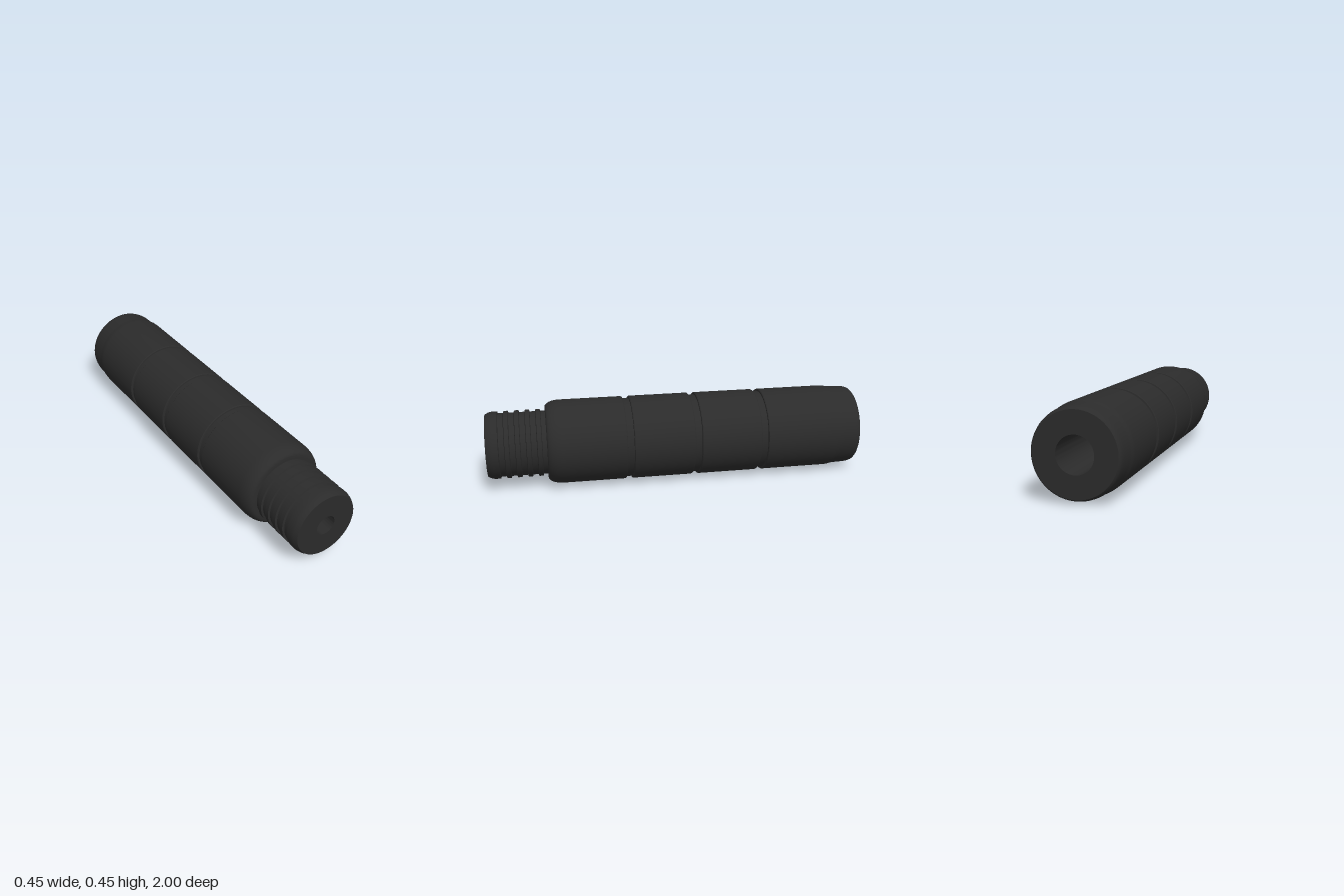
import * as THREE from 'three';
import { toCreasedNormals } from 'three/addons/utils/BufferGeometryUtils.js';

const R = 0.223; // barrel radius, also the height of the axis

export function createModel() {
  const group = new THREE.Group();
  const black = new THREE.MeshStandardMaterial({ color: 0x2b2b2b });
  black.name = 'matte black';

  // Turns a [radius, z] profile around the long axis.
  function turned(name, profile) {
    const points = profile.map(([r, z]) => new THREE.Vector2(r, z));
    const geometry = toCreasedNormals(new THREE.LatheGeometry(points, 80), 0.5);
    geometry.rotateX(Math.PI / 2);
    geometry.translate(0, R, 0);
    const mesh = new THREE.Mesh(geometry, black);
    mesh.name = name;
    group.add(mesh);
  }

  // Barrel: back face, rounded rim, slight step up to full radius
  const barrel = [
    [0.09, -1], [0.2, -1], [0.207, -0.993], [0.211, -0.98], [0.214, -0.96],
    [0.216, -0.89], [0.218, -0.875], [R - 0.001, -0.86], [R, -0.84],
  ];
  // Three shallow grooves around the grip
  for (const z of [-0.462, -0.102, 0.258]) {
    barrel.push([R, z - 0.022], [R - 0.003, z - 0.018], [R - 0.011, z - 0.017],
      [R - 0.011, z + 0.017], [R - 0.003, z + 0.018], [R, z + 0.022]);
  }
  // Rounded shoulder down to the neck
  for (let i = 0; i <= 8; i++) {
    const a = (i / 8) * Math.PI * 0.5;
    barrel.push([R - 0.035 + 0.035 * Math.cos(a), 0.61 + 0.078 * Math.sin(a)]);
  }
  barrel.push([0.165, 0.688]);
  turned('barrel', barrel);

  // Neck with raised thread ridges and a chamfered tip
  const neck = [[0.168, 0.68]];
  for (let i = 0; i < 4; i++) {
    const z = 0.711 + i * 0.0555;
    neck.push([0.168, z], [0.178, z + 0.003], [0.178, z + 0.025], [0.168, z + 0.028]);
  }
  neck.push([0.168, 0.933], [0.178, 0.936], [0.178, 0.965], [0.174, 0.982], [0.165, 1], [0.051, 1]);
  turned('threadedNeck', neck);

  // Through bore, narrow at the front and wide at the back
  turned('bore', [[0.051, 1], [0.051, 0.66], [0.09, 0.62], [0.09, -1]]);

  return group;
}
